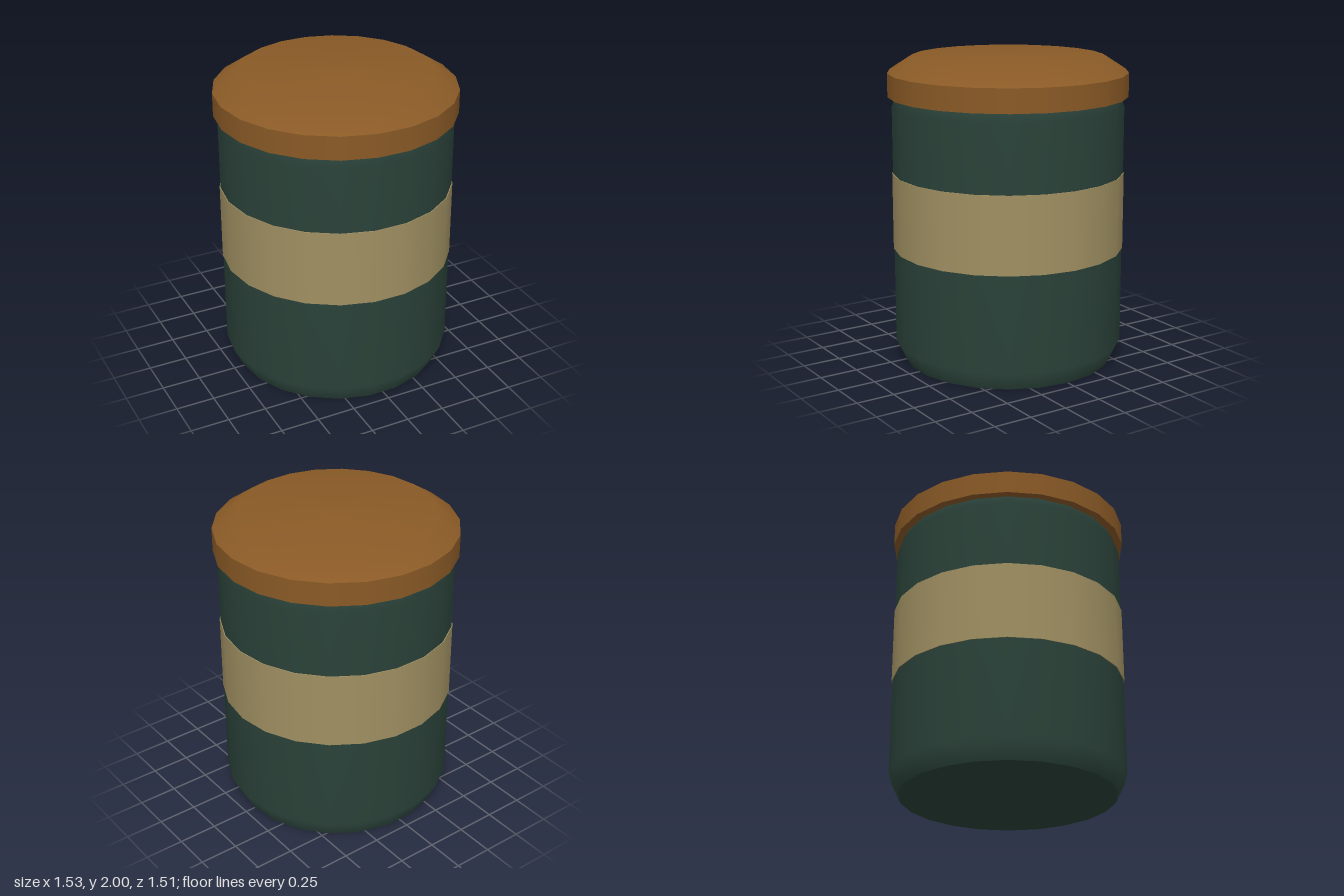
import * as THREE from 'three';

const SIDES = 22;

const green = new THREE.MeshStandardMaterial({ color: 0x2a4239 });
green.name = 'dark green';
const brown = new THREE.MeshStandardMaterial({ color: 0x8a5a26 });
brown.name = 'lid brown';
const tan = new THREE.MeshStandardMaterial({ color: 0xa09062 });
tan.name = 'label tan';

// Surface of revolution with a corner on the x axis; profile runs bottom to top
function turned(name, material, profile) {
  const points = profile.map(([r, y]) => new THREE.Vector2(r, y));
  const mesh = new THREE.Mesh(new THREE.LatheGeometry(points, SIDES, Math.PI / 2), material);
  mesh.name = name;
  return mesh;
}

export function createModel() {
  const model = new THREE.Group();
  model.name = 'canister';

  // Jar: flat base and a wall with sloping foot and shoulder
  const jar = new THREE.Group();
  jar.name = 'jar';
  jar.add(
    turned('jarBase', green, [[0, 0], [0.68, 0]]),
    turned('jarWall', green, [[0.68, 0], [0.74, 0.125], [0.74, 1.67], [0.705, 1.75]])
  );

  // Label band wrapped round the middle, with thin rims
  const label = new THREE.Group();
  label.name = 'label';
  label.add(
    turned('labelBottomRim', tan, [[0.735, 0.745], [0.745, 0.745]]),
    turned('labelFace', tan, [[0.745, 0.745], [0.745, 1.24]]),
    turned('labelTopRim', tan, [[0.745, 1.24], [0.735, 1.24]])
  );

  // Lid: underside, upright rim and shallow bevelled dome
  const lid = new THREE.Group();
  lid.name = 'lid';
  lid.add(
    turned('lidUnderside', brown, [[0, 1.73], [0.765, 1.73]]),
    turned('lidRim', brown, [[0.765, 1.73], [0.765, 1.88]]),
    turned('lidDome', brown, [[0.765, 1.88], [0.615, 1.977], [0, 2]])
  );

  model.add(jar, label, lid);
  return model;
}
